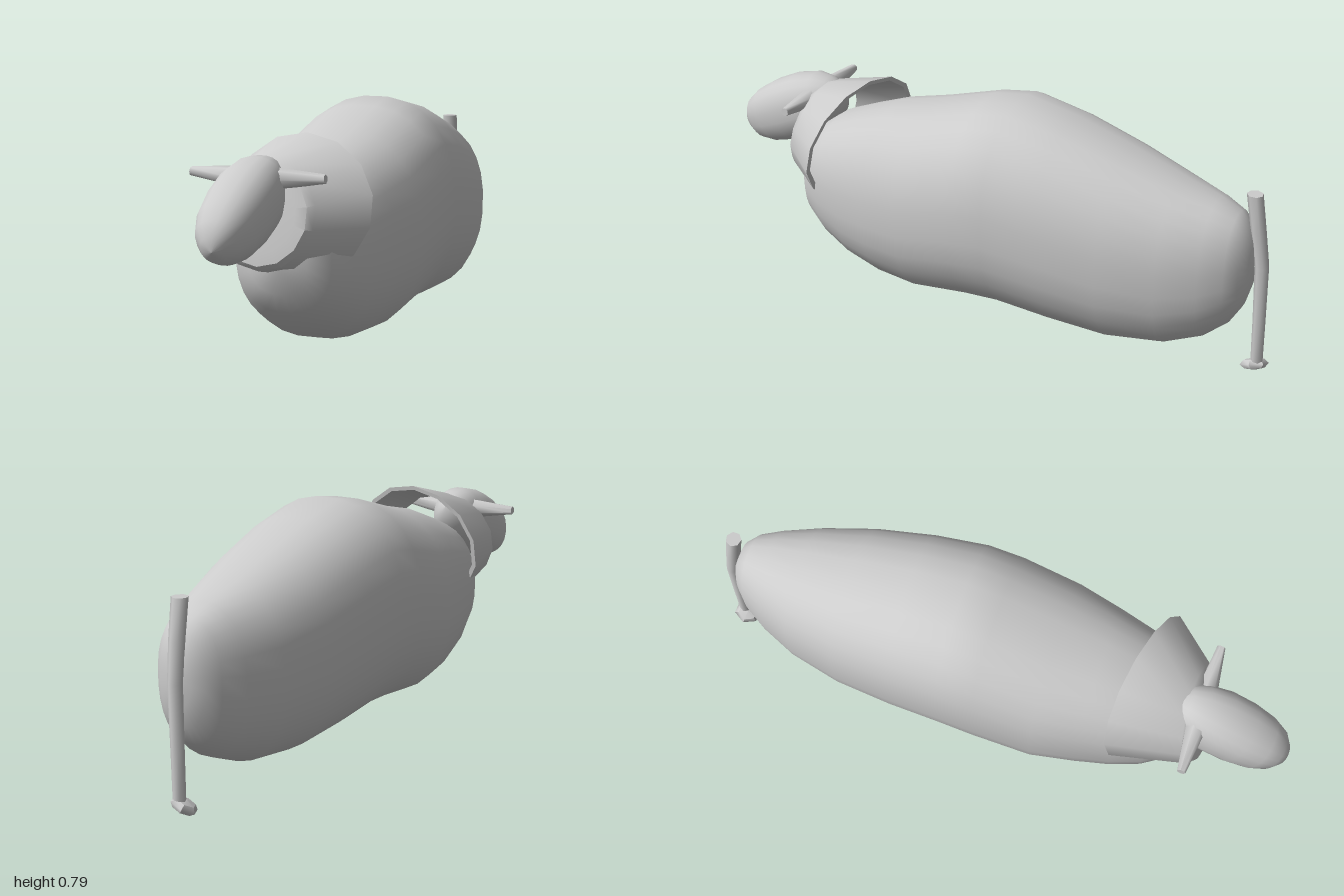
import * as THREE from 'three';
import { toCreasedNormals } from 'three/addons/utils/BufferGeometryUtils.js';

// Skins a list of closed rings (arrays of [x, y, z]) running towards +z
function loft(rings) {
  const n = rings[0].length, index = [];
  for (let i = 0; i < rings.length - 1; i++) {
    for (let j = 0; j < n; j++) {
      const k = (j + 1) % n;
      const a = i * n + j, b = i * n + k, c = b + n, d = a + n;
      index.push(a, b, c, a, c, d);
    }
  }
  const g = new THREE.BufferGeometry();
  g.setAttribute('position', new THREE.Float32BufferAttribute(rings.flat(2), 3));
  g.setIndex(index);
  g.computeVertexNormals();
  return g;
}

// Superellipse ring; z may be a function of x and y
function ring(n, cx, cy, rx, ry, z, power = 2) {
  const bend = v => Math.sign(v) * Math.pow(Math.abs(v), 2 / power);
  return Array.from({ length: n }, (_, j) => {
    const t = (j + 0.5) / n * Math.PI * 2;
    const x = cx + rx * bend(Math.cos(t)), y = cy + ry * bend(Math.sin(t));
    return [x, y, typeof z === 'function' ? z(x, y) : z];
  });
}

export function createModel() {
  const model = new THREE.Group();
  const grey = new THREE.MeshStandardMaterial({ color: 0xcccccc });
  grey.name = 'light grey';
  const add = (name, geometry) => {
    const mesh = new THREE.Mesh(geometry, grey);
    mesh.name = name;
    model.add(mesh);
    return mesh;
  };

  // Body stations: z, top, bottom, half width
  const stations = [
    [-0.93, 0.401, 0.399, 0.001], [-0.925, 0.48, 0.32, 0.045],
    [-0.905, 0.54, 0.25, 0.08], [-0.87, 0.575, 0.19, 0.115],
    [-0.8, 0.605, 0.13, 0.155], [-0.68, 0.64, 0.08, 0.205],
    [-0.5, 0.7, 0.06, 0.25], [-0.3, 0.76, 0.072, 0.275],
    [-0.12, 0.795, 0.088, 0.287], [0.0, 0.775, 0.084, 0.29],
    [0.2, 0.715, 0.062, 0.282], [0.35, 0.68, 0.07, 0.25],
    [0.46, 0.64, 0.1, 0.225], [0.56, 0.6, 0.155, 0.195],
    [0.63, 0.55, 0.215, 0.155], [0.675, 0.48, 0.28, 0.095],
    [0.69, 0.381, 0.379, 0.001],
  ];
  add('body', loft(stations.map(([z, top, bottom, w]) =>
    ring(28, 0, (top + bottom) / 2, w, (top - bottom) / 2, z, 2.3))));

  // Flared collar: lining, back lip, cone, rounded front, neck cap
  const back = (x, y) => 0.495 - (y - 0.53) * 0.22 + x * 0.2;
  const front = dz => (x, y) => 0.695 + dz - (y - 0.53) * 0.26;
  const collar = loft([
    ring(14, -0.02, 0.52, 0.17, 0.16, front(-0.06)),
    ring(14, 0, 0.525, 0.237, 0.198, back),
    ring(14, 0, 0.525, 0.253, 0.212, back),
    ring(14, -0.035, 0.52, 0.163, 0.162, front(-0.01)),
    ring(14, -0.035, 0.52, 0.145, 0.145, front(0.01)),
    ring(14, -0.035, 0.525, 0.11, 0.11, front(0.015)),
    ring(14, -0.035, 0.53, 0.001, 0.001, front(0.015)),
  ]);
  add('collar', toCreasedNormals(collar, 0.7));

  // Long rounded head with the muzzle lowered
  const profile = [
    [-0.22, 0.001], [-0.212, 0.3], [-0.18, 0.62], [-0.13, 0.86], [-0.05, 1],
    [0.04, 0.99], [0.12, 0.88], [0.175, 0.68], [0.21, 0.38], [0.22, 0.001],
  ];
  const head = add('head', loft(profile.map(([z, s]) =>
    ring(20, 0, 0, 0.101 * s, 0.112 * s, z, 2.3))));
  head.position.set(-0.055, 0.553, 0.79);
  head.rotation.x = 0.43;

  // Tapered horns, one on each side
  for (const side of [-1, 1]) {
    const horn = add(side < 0 ? 'rightHorn' : 'leftHorn',
      toCreasedNormals(new THREE.CylinderGeometry(0.014, 0.033, 0.15, 7), 0.95));
    horn.position.set(-0.055 + side * 0.142, 0.633, 0.69);
    horn.rotation.z = -side * (Math.PI / 2 - 0.05);
  }

  // Hanging tail, slightly kinked and thinner at the tip
  const tailPoints = [
    [-0.005, 0.645, -0.912, 0.026], [-0.006, 0.52, -0.933, 0.025],
    [-0.01, 0.4, -0.952, 0.023], [-0.016, 0.2, -0.957, 0.021], [-0.02, 0.035, -0.96, 0.02],
  ];
  const tailRings = tailPoints.map(([x, y, z, r]) =>
    ring(7, 0, 0, r, r, 0).map(([u, v]) => [x + u, y, z - v]).reverse());
  const cap = ([x, y, z]) => Array.from({ length: 7 }, () => [x, y, z]);
  const tail = loft([cap(tailPoints[0]), ...tailRings, cap(tailPoints[4])]);
  // Keep the winding facing outward for the downward path
  add('tail', toCreasedNormals(tail, 0.95));

  // Small flattened tuft at the tail tip
  const tuft = add('tailTuft', toCreasedNormals(new THREE.SphereGeometry(1, 6, 4), 0.7));
  tuft.scale.set(0.045, 0.02, 0.047);
  tuft.position.set(-0.028, 0.032, -0.95);
  tuft.rotation.set(0.3, 0, 0.4);

  return model;
}
